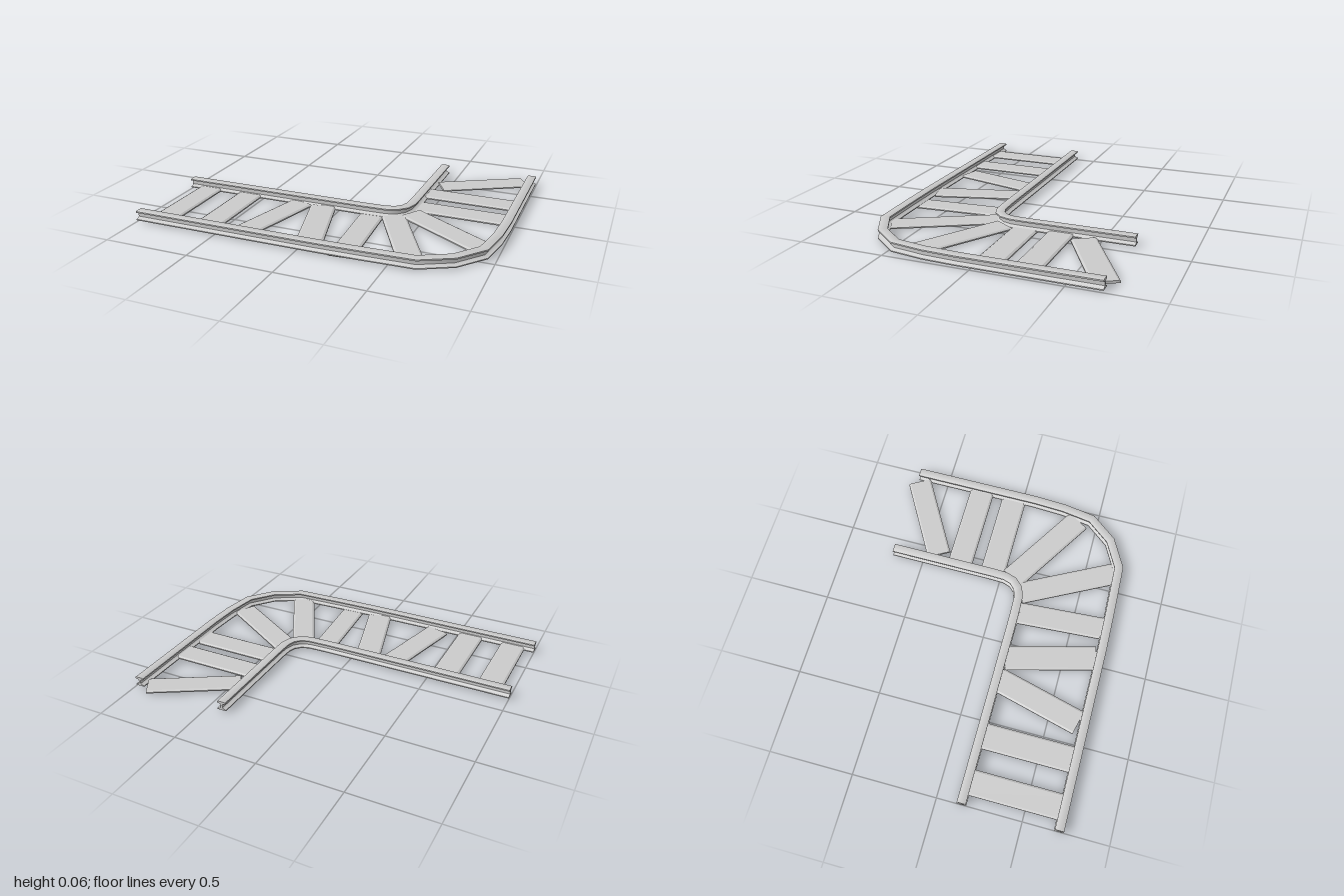
import * as THREE from 'three';
import { toCreasedNormals } from 'three/addons/utils/BufferGeometryUtils.js';

const material = new THREE.MeshStandardMaterial({ color: 0xcccccc });

// Rail cross-section: right half as [side, height], mirrored to a full I shape
const half = [[0.028, 0.009], [0.028, 0.015], [0.012, 0.02], [0.006, 0.026], [0.006, 0.046],
  [0.012, 0.051], [0.026, 0.054], [0.026, 0.062], [0.021, 0.065]];
const profile = [...half, ...half.map(([s, y]) => [-s, y]).reverse()];

// Sweeps the rail profile along a flat path of [x, z] points with mitred corners
function rail(name, path) {
  const n = profile.length, positions = [], index = [];
  const pts = path.map(([x, z]) => new THREE.Vector2(x, z));
  pts.forEach((p, i) => {
    const before = p.clone().sub(pts[Math.max(i - 1, 0)]).normalize();
    const after = pts[Math.min(i + 1, pts.length - 1)].clone().sub(p).normalize();
    const dir = before.clone().add(after).normalize();
    const miter = 1 / Math.max(dir.dot(i ? before : after), 0.5);
    for (const [s, y] of profile) {
      positions.push(p.x + dir.y * s * miter, y, p.y - dir.x * s * miter);
    }
  });
  for (let i = 0; i < pts.length - 1; i++) {
    for (let j = 0; j < n; j++) {
      const a = i * n + j, b = i * n + (j + 1) % n;
      index.push(a, b, b + n, a, b + n, a + n);
    }
  }
  // End caps
  const last = (pts.length - 1) * n;
  const outline = profile.map(([s, y]) => new THREE.Vector2(s, y));
  for (const [a, b, c] of THREE.ShapeUtils.triangulateShape(outline, [])) {
    index.push(a, c, b, last + a, last + b, last + c);
  }
  const geometry = new THREE.BufferGeometry();
  geometry.setAttribute('position', new THREE.Float32BufferAttribute(positions, 3));
  geometry.setIndex(index);
  const mesh = new THREE.Mesh(toCreasedNormals(geometry, 0.6), material);
  mesh.name = name;
  return mesh;
}

// Plank with sloped upper edges, laid from one [x, z] point to another
function sleeper([x1, z1], [x2, z2], width, y) {
  const w = width / 2;
  const shape = new THREE.Shape([[-w, 0], [w, 0], [w, 0.007], [w - 0.012, 0.014],
    [-w + 0.012, 0.014], [-w, 0.007]].map(([a, b]) => new THREE.Vector2(a, b)));
  const length = Math.hypot(x2 - x1, z2 - z1);
  const geometry = new THREE.ExtrudeGeometry(shape, { depth: length, bevelEnabled: false });
  const mesh = new THREE.Mesh(geometry, material);
  mesh.position.set(x1, y, z1);
  mesh.rotation.y = Math.atan2(x2 - x1, z2 - z1);
  return mesh;
}

export function createModel() {
  const group = new THREE.Group();
  group.name = 'curvedTrack';

  // Wide outer bend and tight inner bend
  group.add(rail('outerRail', [[-1, 0.709], [0.1, 0.709], [0.35, 0.704], [0.645, 0.694],
    [0.815, 0.604], [0.932, 0.458], [0.961, 0.27], [0.97, 0.08], [0.97, -0.69]]));
  group.add(rail('innerRail', [[-1, 0.147], [0.17, 0.147], [0.29, 0.143], [0.345, 0.125],
    [0.385, 0.085], [0.403, 0.03], [0.406, -0.05], [0.406, -0.69]]));

  // Loosely laid sleepers: inner end, outer end, width, height
  const sleepers = [
    [[-0.865, 0.16], [-0.865, 0.7], 0.15, 0.009],
    [[-0.588, 0.16], [-0.588, 0.7], 0.155, 0.009],
    [[-0.238, 0.16], [-0.369, 0.675], 0.15, 0.009],
    [[-0.097, 0.16], [0.046, 0.69], 0.15, 0.009],
    [[0.209, 0.16], [0.247, 0.72], 0.14, 0],
    [[0.337, 0.144], [0.618, 0.675], 0.14, 0.006],
    [[0.417, 0.07], [0.918, 0.376], 0.15, 0.009],
    [[0.42, -0.057], [0.955, -0.057], 0.153, 0.003],
    [[0.42, -0.27], [0.955, -0.27], 0.15, 0.009],
    [[0.455, -0.413], [0.923, -0.68], 0.145, 0.01],
  ];
  const sleeperGroup = new THREE.Group();
  sleeperGroup.name = 'sleepers';
  sleepers.forEach((s, i) => {
    const mesh = sleeper(...s);
    mesh.name = `sleeper${i + 1}`;
    sleeperGroup.add(mesh);
  });
  group.add(sleeperGroup);
  return group;
}
